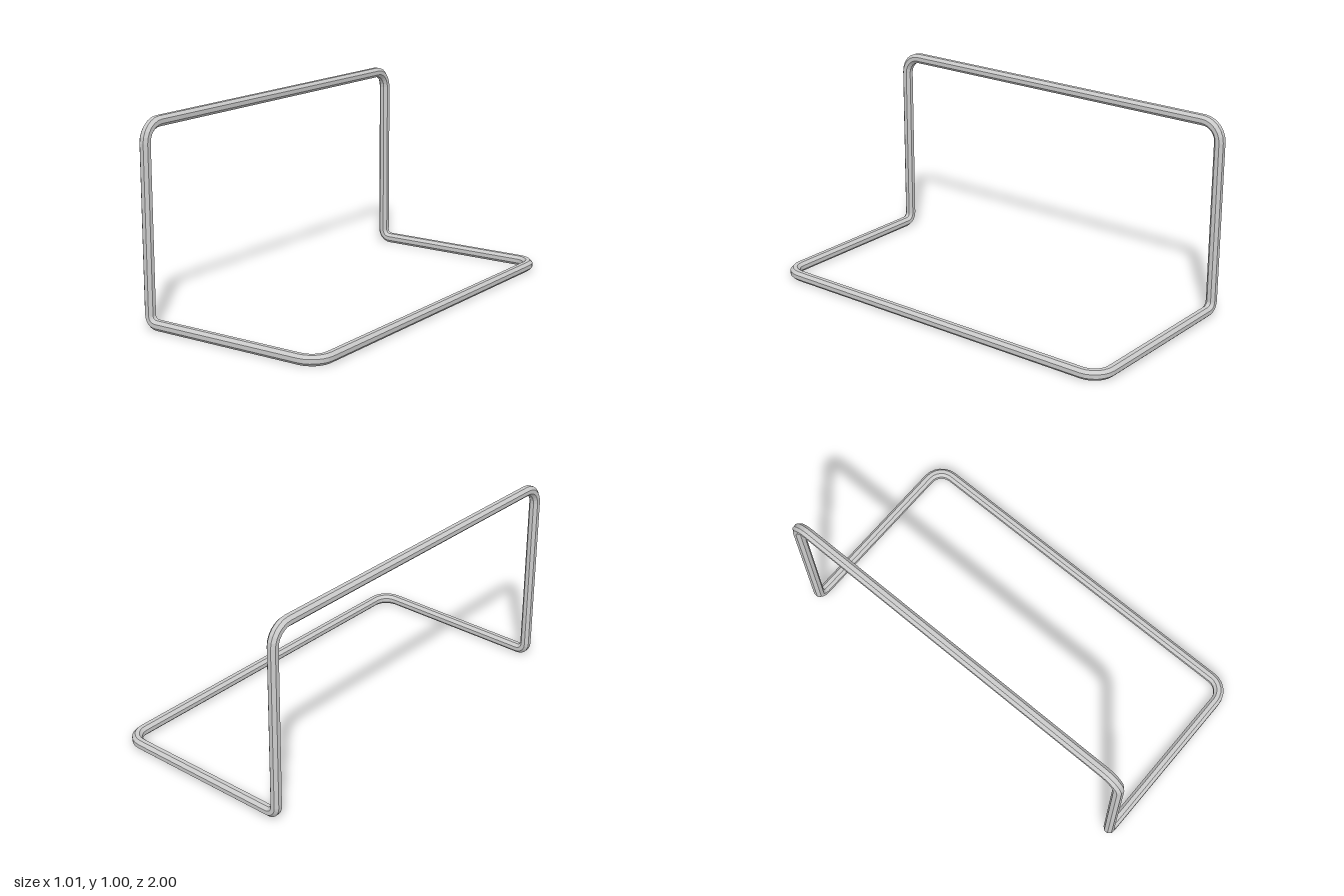
import * as THREE from 'three';

const SIDES = 8, STEPS = 6, HALF = 0.025;
const RING_R = HALF / Math.cos(Math.PI / SIDES);

// Corners of the bent rod loop: [x, y, z, bend radius]
const X = 0.48, TOP = 0.972, LOW = 0.025, Z = 0.975;
const CORNERS = [
  [-X, TOP, Z, 0.09], [-X, LOW, Z, 0.045], [X, LOW, Z, 0.09],
  [X, LOW, -Z, 0.09], [-X, LOW, -Z, 0.045], [-X, TOP, -Z, 0.09],
];

// Sweep an octagonal section round the closed loop, with true arcs at the corners
function sweepLoop(corners) {
  const pts = corners.map(c => new THREE.Vector3(c[0], c[1], c[2]));
  const n = pts.length, pos = [], idx = [];
  const u = new THREE.Vector3(0, 1, 0);

  const addRing = (center, tangent) => {
    const v = new THREE.Vector3().crossVectors(tangent, u);
    for (let i = 0; i < SIDES; i++) {
      const a = (i + 0.5) / SIDES * Math.PI * 2;
      const p = center.clone()
        .addScaledVector(u, Math.cos(a) * RING_R)
        .addScaledVector(v, Math.sin(a) * RING_R);
      pos.push(p.x, p.y, p.z);
    }
  };

  for (let k = 0; k <= n; k++) {
    const p = pts[k % n], r = corners[k % n][3];
    const din = p.clone().sub(pts[(k + n - 1) % n]).normalize();
    const dout = pts[(k + 1) % n].clone().sub(p).normalize();
    const axis = new THREE.Vector3().crossVectors(din, dout).normalize();
    const center = p.clone().addScaledVector(din, -r).addScaledVector(dout, r);
    const u0 = u.clone();
    // the closing pass only needs the first ring of the first bend
    const last = k === n ? 0 : STEPS;
    for (let s = 0; s <= last; s++) {
      const a = s / STEPS * Math.PI / 2;
      u.copy(u0).applyAxisAngle(axis, a);
      const c = center.clone().add(dout.clone().multiplyScalar(-r).applyAxisAngle(axis, a));
      addRing(c, din.clone().applyAxisAngle(axis, a));
    }
  }

  const rings = pos.length / 3 / SIDES;
  for (let j = 0; j < rings - 1; j++) {
    for (let i = 0; i < SIDES; i++) {
      const a = j * SIDES + i, b = j * SIDES + (i + 1) % SIDES;
      idx.push(a, b, b + SIDES, a, b + SIDES, a + SIDES);
    }
  }
  const geo = new THREE.BufferGeometry();
  geo.setAttribute('position', new THREE.Float32BufferAttribute(pos, 3));
  geo.setIndex(idx);
  geo.computeVertexNormals();
  return geo;
}

export function createModel() {
  const group = new THREE.Group();
  group.name = 'bentRodFrame';
  const material = new THREE.MeshStandardMaterial({ color: 0xcccccc, flatShading: true });
  const rod = new THREE.Mesh(sweepLoop(CORNERS), material);
  rod.name = 'rodLoop';
  group.add(rod);
  return group;
}
